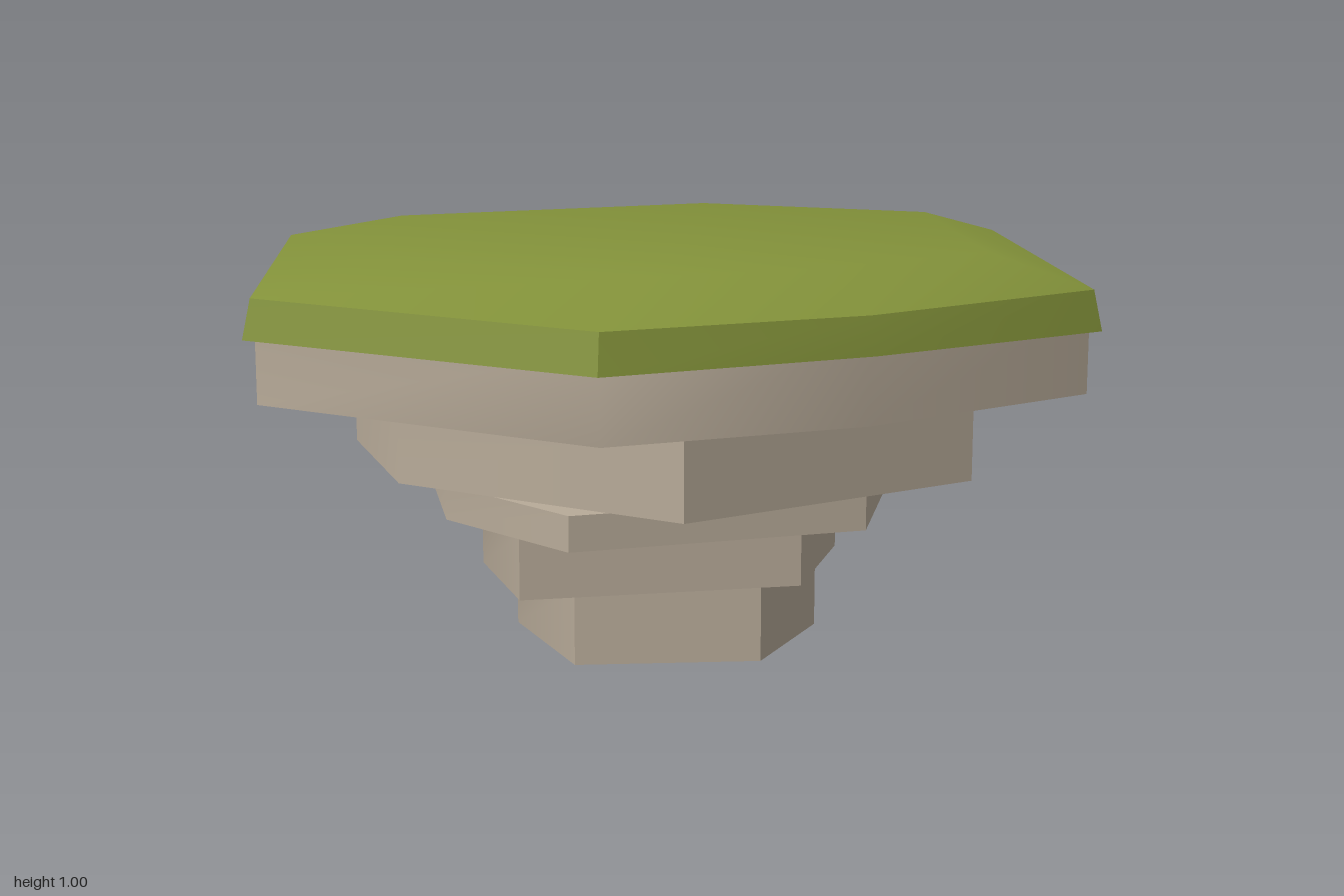
import * as THREE from 'three';
import { toCreasedNormals } from 'three/addons/utils/BufferGeometryUtils.js';

// Closed solid through a stack of rings (lowest first), each a list of [x, y, z]
function loft(rings, crease) {
  const pos = [];
  const tri = (a, b, c) => pos.push(...a, ...b, ...c);
  const centre = (r) => [0, 1, 2].map((k) => r.reduce((s, p) => s + p[k], 0) / r.length);
  const low = rings[0], high = rings[rings.length - 1];
  const cl = centre(low), ch = centre(high), n = low.length;
  for (let i = 0; i < n; i++) {
    const j = (i + 1) % n;
    for (let k = 0; k + 1 < rings.length; k++) {
      const b = rings[k], t = rings[k + 1];
      tri(b[i], t[i], b[j]);
      tri(b[j], t[i], t[j]);
    }
    tri(cl, low[i], low[j]);
    tri(ch, high[j], high[i]);
  }
  const g = new THREE.BufferGeometry();
  g.setAttribute('position', new THREE.Float32BufferAttribute(pos, 3));
  return toCreasedNormals(g, crease);
}

// Outline scaled and shifted at one height
const ring = (outline, y, s = 1, dx = 0, dz = 0) =>
  outline.map(([x, z]) => [x * s + dx, y, z * s + dz]);

export function createModel() {
  const model = new THREE.Group();
  const grass = new THREE.MeshStandardMaterial({ color: 0x83923a });
  grass.name = 'grass green';
  const stone = new THREE.MeshStandardMaterial({ color: 0xb8ab99 });
  stone.name = 'warm stone';

  const add = (name, geometry, material) => {
    const mesh = new THREE.Mesh(geometry, material);
    mesh.name = name;
    model.add(mesh);
  };

  // Grass cap: uneven lower lip, sloped rim and bevelled plateau
  const rim = [[-0.965, -0.672], [0.17, -1], [0.96, -0.645], [0.96, 0.48],
    [0.39, 0.815], [-0.204, 0.99], [-0.965, 0.474]];
  const lipHeights = [0.81, 0.855, 0.84, 0.826, 0.835, 0.83, 0.828];
  const lip = rim.map(([x, z], i) => [x, lipHeights[i], z]);
  add('grassCap', loft([lip, ring(rim, 0.92, 0.98), ring(rim, 1, 0.7, 0.035, 0.075)], 0.65), grass);

  // Stone slabs, stepping down and inwards
  const slabs = [
    ['upperSlab', 0.68, 0.87, rim.map(([x, z]) => [x * 0.972, z * 0.975])],
    ['wideSlab', 0.435, 0.68, [[-0.64, 0.2], [-0.765, -0.3], [-0.18, -0.81],
      [0.58, -0.52], [0.715, 0.27], [0, 0.64]]],
    ['thinSlab', 0.34, 0.425, [[-0.53, 0.18], [-0.59, -0.4], [0.09, -0.65],
      [0.57, -0.08], [0.45, 0.355], [-0.25, 0.51]]],
    ['lowerSlab', 0.185, 0.34, [[-0.445, 0], [-0.23, -0.43], [0.19, -0.445],
      [0.445, -0.1], [0.31, 0.27], [-0.36, 0.35]]],
    ['baseSlab', 0, 0.185, [[-0.36, -0.1], [-0.205, -0.395], [0.27, -0.32],
      [0.385, -0.03], [0.215, 0.27], [-0.23, 0.27]]],
  ];
  for (const [name, y0, y1, outline] of slabs) {
    const ordered = outline;
    add(name, loft([ring(ordered, y0), ring(ordered, y1)], 1.035), stone);
  }
  return model;
}
